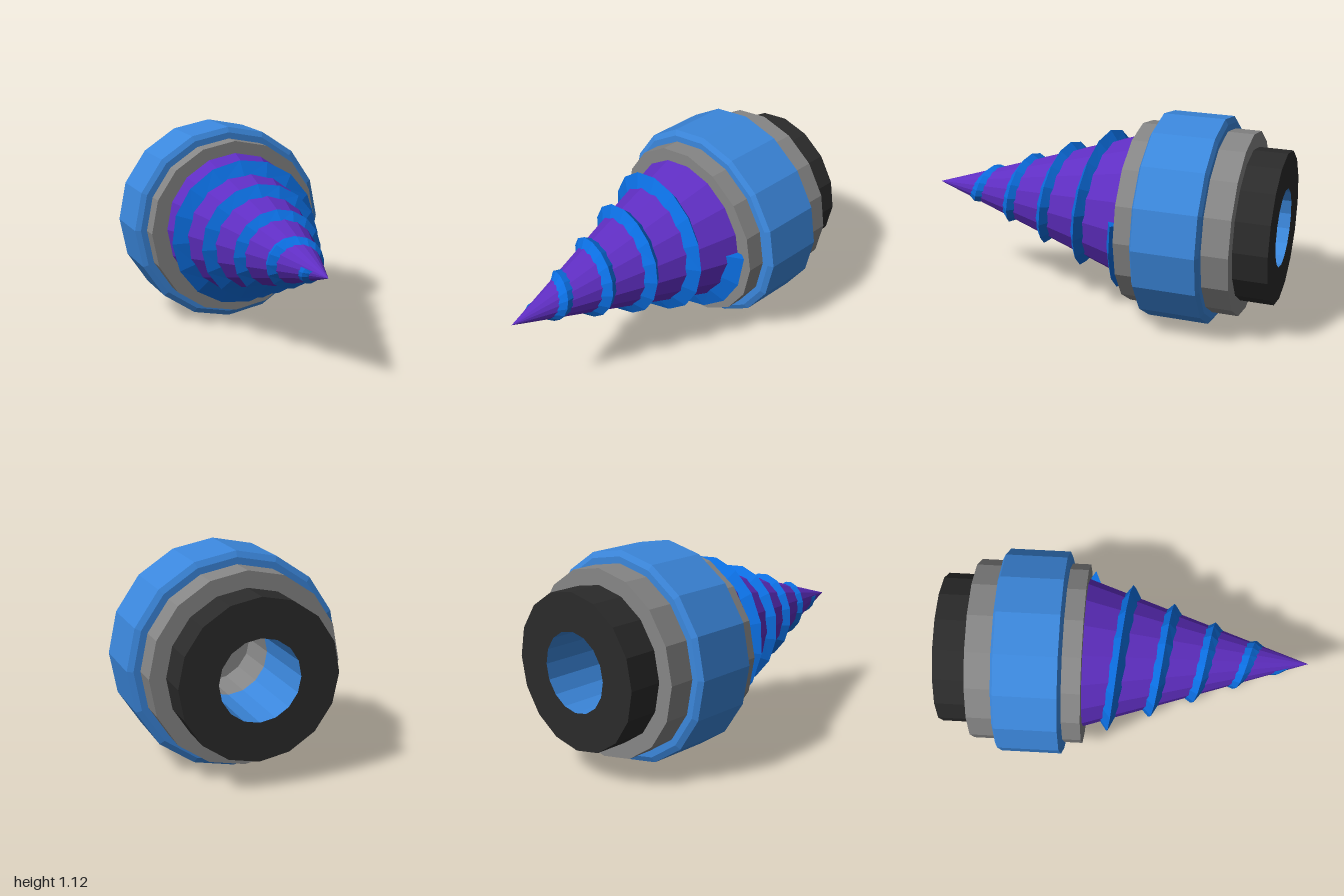
import * as THREE from 'three';

const SIDES = 16;

function mat(name, color) {
  const m = new THREE.MeshStandardMaterial({ color, flatShading: true });
  m.name = name;
  return m;
}

// Turned part along z; profile points are [radius, z]
function turned(name, profile, material, y) {
  const pts = profile.map(([r, z]) => new THREE.Vector2(r, z));
  const geo = new THREE.LatheGeometry(pts, SIDES);
  geo.rotateX(Math.PI / 2);
  const mesh = new THREE.Mesh(geo, material);
  mesh.name = name;
  mesh.position.y = y;
  return mesh;
}

// Triangular ridge wound around the cone, tapering with it
function threadGeometry() {
  const pitch = 0.23, z0 = -0.195, z1 = 0.86, half = 0.043;
  const steps = Math.round(((z1 - z0) / pitch) * SIDES);
  const pos = [];
  const section = (i) => {
    const z = z0 + (i / SIDES) * pitch;
    const a = 0.12 - (i / SIDES) * Math.PI * 2;
    const at = (r, zz) => [r * Math.cos(a), r * Math.sin(a), zz];
    const foot = (zz) => at(0.325 * (1 - zz), zz);
    return [foot(z + half), at(0.395 * (1 - z), z), foot(z - half)];
  };
  const tri = (a, b, c) => pos.push(...a, ...b, ...c);
  for (let i = 0; i < steps; i++) {
    const s = section(i), n = section(i + 1);
    for (let k = 0; k < 2; k++) {
      tri(s[k], n[k], n[k + 1]);
      tri(s[k], n[k + 1], s[k + 1]);
    }
  }
  const first = section(0), last = section(steps);
  tri(first[0], first[1], first[2]);
  tri(last[2], last[1], last[0]);
  const geo = new THREE.BufferGeometry();
  geo.setAttribute('position', new THREE.Float32BufferAttribute(pos, 3));
  geo.computeVertexNormals();
  return geo;
}

export function createModel() {
  const group = new THREE.Group();
  group.name = 'drill';
  const purple = mat('purple', 0x5f2ec2);
  const brightBlue = mat('brightBlue', 0x0b6ee0);
  const blue = mat('blue', 0x3b87dc);
  const grey = mat('grey', 0x868686);
  const black = mat('black', 0x2b2b2b);
  const bodyY = 0.56, tipY = 0.58;

  // Drill bit
  group.add(turned('drillCone', [[0, -0.23], [0.41, -0.23], [0, 1]], purple, tipY));
  const thread = new THREE.Mesh(threadGeometry(), brightBlue);
  thread.name = 'spiralThread';
  thread.position.y = tipY;
  group.add(thread);

  // Housing and its bevelled band
  group.add(turned('housing', [[0.21, -0.82], [0.495, -0.82], [0.495, -0.22], [0, -0.22]], grey, bodyY));
  group.add(turned('band', [[0.49, -0.68], [0.53, -0.68], [0.56, -0.665], [0.56, -0.335],
    [0.53, -0.32], [0.49, -0.32]], blue, bodyY));

  // Rear collar with its socket
  group.add(turned('rearCollar', [[0.21, -1], [0.41, -1], [0.41, -0.82]], black, bodyY));
  group.add(turned('socketWall', [[0.21, -0.58], [0.21, -1]], blue, bodyY));
  group.add(turned('socketEnd', [[0, -0.34], [0.21, -0.34], [0.21, -0.58]], grey, bodyY));
  return group;
}
